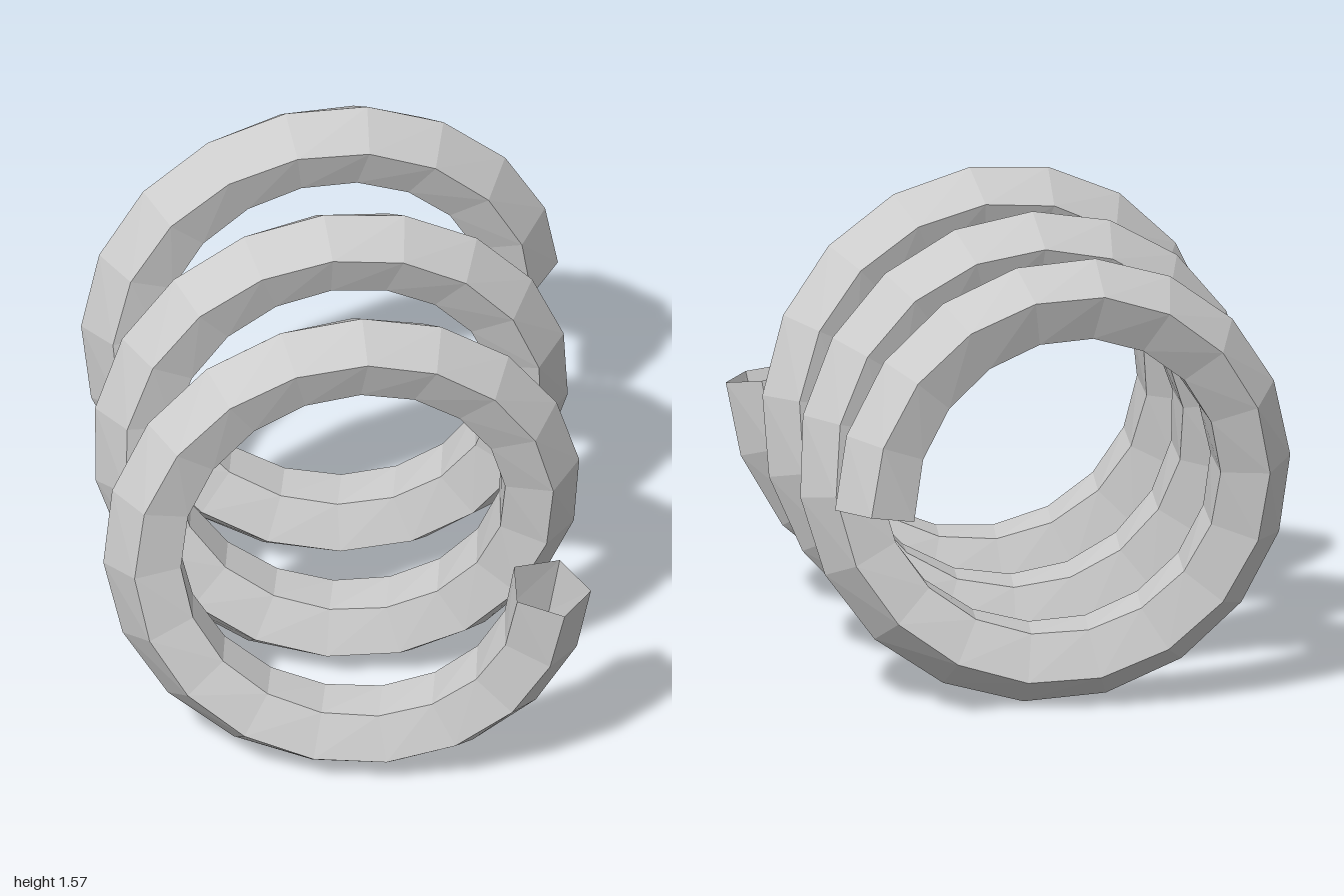
import * as THREE from 'three';

const TURNS = 3, STEPS = 55, SIDES = 5;
const COIL_RADIUS = 0.648, WIRE_RADIUS = 0.137, HALF_LENGTH = 0.87, CENTRE_Y = 0.787;

// Point on the coil's centre line, winding from front to back
function coilPoint(i) {
  const a = -i / STEPS * TURNS * Math.PI * 2;
  return new THREE.Vector3(
    COIL_RADIUS * Math.cos(a),
    CENTRE_Y + COIL_RADIUS * Math.sin(a),
    HALF_LENGTH * (1 - 2 * i / STEPS));
}

// Five-sided wire swept along the coil, one corner always pointing outward
function coilGeometry() {
  const positions = [], index = [];
  for (let i = 0; i <= STEPS; i++) {
    const centre = coilPoint(i);
    const tangent = coilPoint(Math.min(i + 1, STEPS)).sub(coilPoint(Math.max(i - 1, 0))).normalize();
    const outward = new THREE.Vector3(centre.x, centre.y - CENTRE_Y, 0);
    outward.addScaledVector(tangent, -outward.dot(tangent)).normalize();
    const across = new THREE.Vector3().crossVectors(tangent, outward);
    for (let j = 0; j < SIDES; j++) {
      const a = j / SIDES * Math.PI * 2;
      const p = centre.clone()
        .addScaledVector(outward, WIRE_RADIUS * Math.cos(a))
        .addScaledVector(across, WIRE_RADIUS * Math.sin(a));
      positions.push(p.x, p.y, p.z);
      if (i < STEPS) {
        const k = (j + 1) % SIDES, r = i * SIDES, s = r + SIDES;
        index.push(r + j, r + k, s + j, r + k, s + k, s + j);
      }
    }
  }
  const geometry = new THREE.BufferGeometry();
  geometry.setAttribute('position', new THREE.Float32BufferAttribute(positions, 3));
  geometry.setIndex(index);
  geometry.computeVertexNormals();
  return geometry;
}

export function createModel() {
  const group = new THREE.Group();
  group.name = 'spring';
  // The wire is hollow and open at both ends
  const material = new THREE.MeshStandardMaterial({
    color: 0xcccccc, flatShading: true, side: THREE.DoubleSide,
  });
  const coil = new THREE.Mesh(coilGeometry(), material);
  coil.name = 'coil';
  group.add(coil);
  return group;
}
